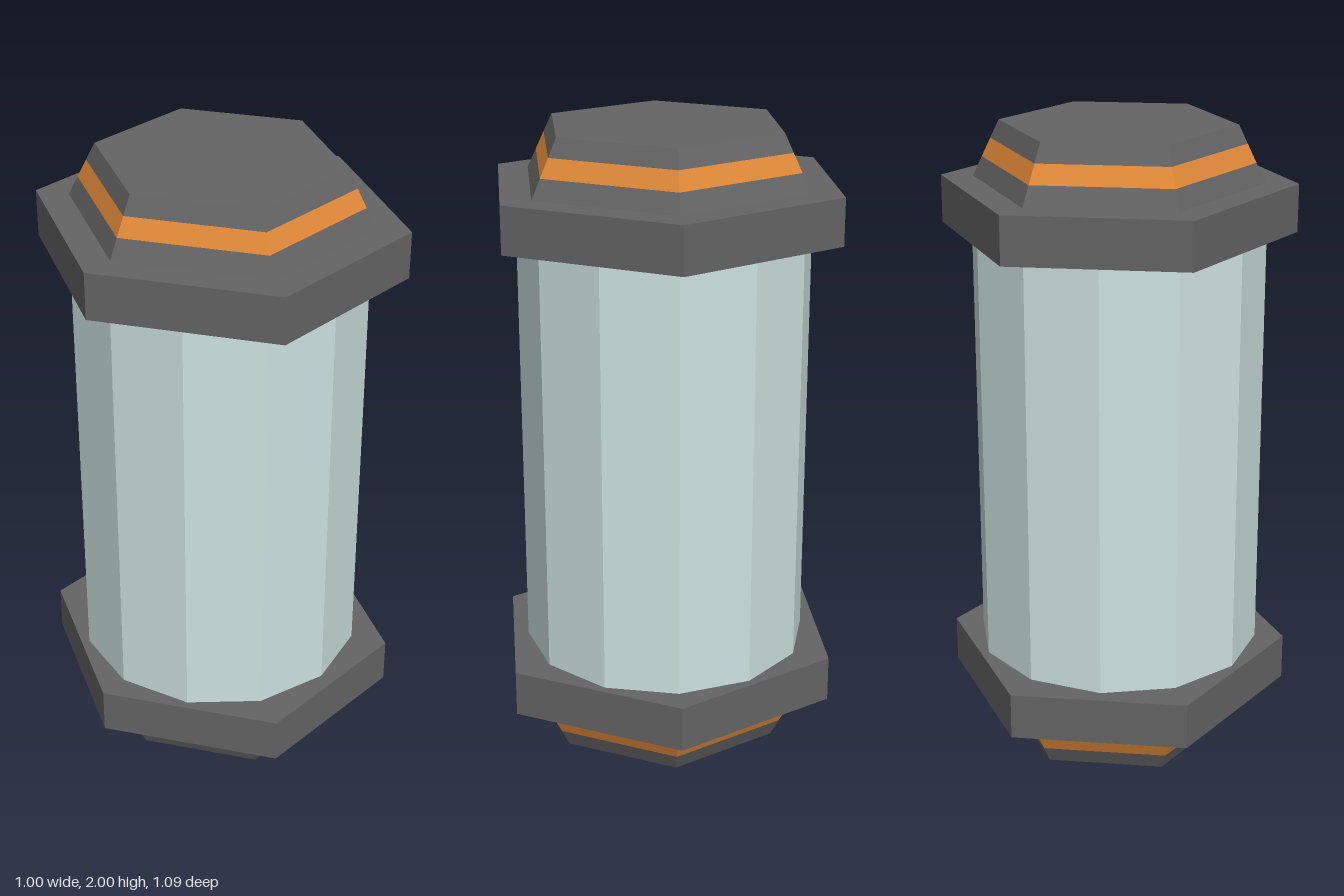
import * as THREE from 'three';

const material = (name, color) => {
  const m = new THREE.MeshStandardMaterial({ color });
  m.name = name;
  return m;
};

// Faceted prism or frustum between two heights, optionally stretched along x
function prism(name, mat, sides, y0, y1, r0, r1 = r0, stretchX = 1, open = false) {
  const geo = new THREE.CylinderGeometry(r1, r0, y1 - y0, sides, 1, open)
    .translate(0, (y0 + y1) / 2, 0)
    .scale(stretchX, 1, 1)
    .toNonIndexed();
  geo.computeVertexNormals();
  const mesh = new THREE.Mesh(geo, mat);
  mesh.name = name;
  return mesh;
}

export function createModel() {
  const metal = material('dark grey metal', 0x646464);
  const orange = material('orange', 0xe28a39);
  const glass = material('pale glass', 0xcde2de);
  const model = new THREE.Group();
  model.name = 'canister';

  // Twelve-sided body
  model.add(prism('body', glass, 12, 0.3, 1.7, 0.453));

  // Hexagonal end: wide collar, then a tapering cap with a flush orange band
  const STRETCH = 1.06;
  const capRadius = (y) => THREE.MathUtils.mapLinear(y, 1.827, 2, 0.445, 0.362);
  const capLayers = [
    ['capBase', metal, 1.827, 1.887],
    ['capBand', orange, 1.887, 1.944],
    ['capTop', metal, 1.944, 2],
  ];
  for (const top of [true, false]) {
    const end = new THREE.Group();
    end.name = top ? 'topEnd' : 'bottomEnd';
    end.add(prism('collar', metal, 6, 1.68, 1.827, 0.545, 0.545, STRETCH));
    for (const [name, mat, y0, y1] of capLayers) {
      end.add(prism(name, mat, 6, y0, y1, capRadius(y0), capRadius(y1), STRETCH, name !== 'capTop'));
    }
    // The bottom end is the top one turned over
    if (!top) {
      end.rotation.x = Math.PI;
      end.position.y = 2;
    }
    model.add(end);
  }
  return model;
}
